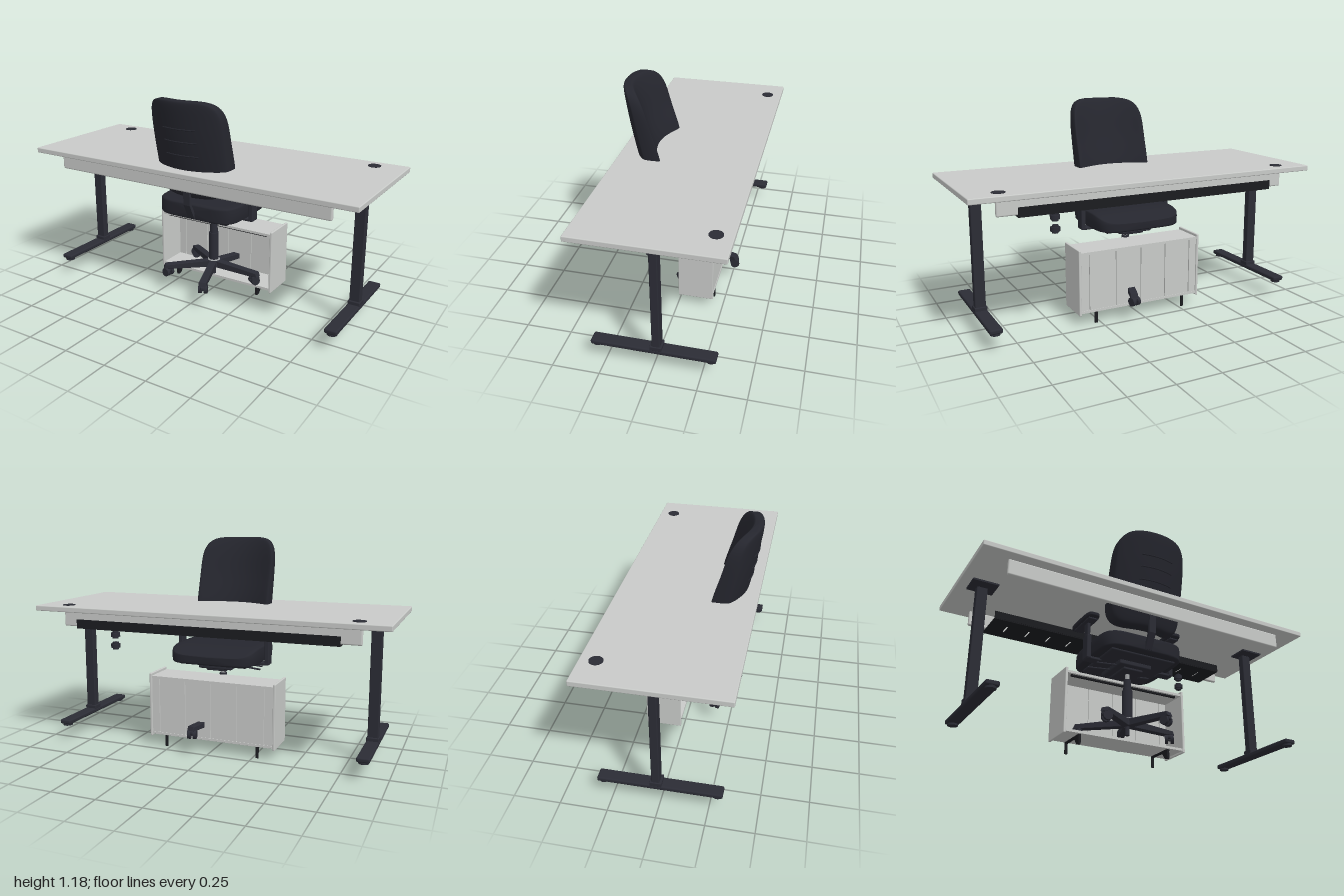
import * as THREE from 'three';
import { RoundedBoxGeometry } from 'three/addons/geometries/RoundedBoxGeometry.js';

function material(name, color, side = THREE.FrontSide) {
  const m = new THREE.MeshStandardMaterial({ color, side });
  m.name = name;
  return m;
}

export function createModel() {
  const model = new THREE.Group();
  model.name = 'deskAndChair';
  const grey = material('lightGreyPanel', 0xc8cac8);
  const metal = material('darkMetal', 0x2b2c35);
  const fabric = material('darkUpholstery', 0x25262e);
  const black = material('blackSteel', 0x1b1c20);
  const steel = material('brightSteel', 0xa2a4a6);

  function group(name, parent = model) {
    const g = new THREE.Group();
    g.name = name;
    parent.add(g);
    return g;
  }
  function add(parent, name, geo, mat, x = 0, y = 0, z = 0) {
    const m = new THREE.Mesh(geo, mat);
    m.name = name;
    m.position.set(x, y, z);
    parent.add(m);
    return m;
  }
  // Box given by its extents on each axis
  function box(parent, name, mat, [x0, x1], [y0, y1], [z0, z1], r = 0) {
    const s = [x1 - x0, y1 - y0, z1 - z0];
    const geo = r ? new RoundedBoxGeometry(...s, 3, r) : new THREE.BoxGeometry(...s);
    return add(parent, name, geo, mat, (x0 + x1) / 2, (y0 + y1) / 2, (z0 + z1) / 2);
  }
  const cyl = (r0, r1, h, n = 24) => new THREE.CylinderGeometry(r0, r1, h, n);

  // Soft slab: t across, s along, n through the thickness, all -1..1, placed by map
  function cushion(q, edge, map) {
    const rows = 32, half = 24, ring = half * 2, pos = [], idx = [];
    const round = (v, p) => Math.pow(Math.max(0, 1 - Math.pow(Math.abs(v), p)), 1 / p);
    for (let i = 0; i <= rows; i++) {
      const s = Math.sin((i / rows - 0.5) * Math.PI), w = round(s, q);
      for (let j = 0; j < ring; j++) {
        const k = j < half ? j : ring - j;
        const t = Math.sin((k / half - 0.5) * Math.PI);
        const n = round(t, edge) * round(s, edge) * (j < half ? 1 : -1);
        pos.push(...map(t * w, s, n));
        if (i < rows) {
          const a = i * ring + j, b = i * ring + (j + 1) % ring;
          idx.push(a, b, b + ring, a, b + ring, a + ring);
        }
      }
    }
    const g = new THREE.BufferGeometry();
    g.setAttribute('position', new THREE.Float32BufferAttribute(pos, 3));
    g.setIndex(idx);
    g.computeVertexNormals();
    return g;
  }

  // ---- Desk ----
  const desk = group('desk');
  box(desk, 'deskTop', grey, [-1, 1], [0.778, 0.808], [-0.385, 0.375], 0.005);
  box(desk, 'frontRail', grey, [-0.85, 0.85], [0.69, 0.778], [0.297, 0.32], 0.008);
  box(desk, 'rearRail', grey, [-0.85, 0.85], [0.69, 0.778], [-0.32, -0.297], 0.008);
  for (const sx of [-1, 1]) {
    const leg = group('deskLeg', desk);
    leg.position.x = sx * 0.875;
    box(leg, 'legPost', metal, [-0.029, 0.029], [0.12, 0.77], [-0.041, 0.001], 0.005);
    box(leg, 'mountingPlate', metal, [-0.07, 0.07], [0.768, 0.778], [-0.06, 0.06]);
    box(leg, 'legCollar', metal, [-0.034, 0.034], [0.12, 0.145], [-0.05, 0.012], 0.004);
    box(leg, 'foot', metal, [-0.035, 0.035], [0.1, 0.126], [-0.325, 0.322], 0.009);
    for (const z of [-0.295, 0.292]) add(leg, 'glide', cyl(0.027, 0.027, 0.012), metal, 0, 0.096, z);
    add(desk, 'cableGrommet', cyl(0.035, 0.035, 0.006, 32), metal, sx * 0.83, 0.808, -0.3);
  }

  // Slotted cable tray under the rear of the desk
  const tray = group('cableTray', desk);
  const base = new THREE.Shape([[-0.75, -0.35], [0.75, -0.35], [0.75, -0.145], [-0.75, -0.145]]
    .map(p => new THREE.Vector2(...p)));
  for (let i = -5; i <= 5; i++) {
    const x = i * 0.13;
    base.holes.push(new THREE.Path([[x - 0.006, -0.29], [x - 0.006, -0.21], [x + 0.006, -0.21], [x + 0.006, -0.29]]
      .map(p => new THREE.Vector2(...p))));
  }
  const trayBase = new THREE.ExtrudeGeometry(base, { depth: 0.006, bevelEnabled: false }).rotateX(Math.PI / 2);
  add(tray, 'trayBase', trayBase, black, 0, 0.691, 0);
  box(tray, 'trayRearWall', black, [-0.75, 0.75], [0.69, 0.736], [-0.351, -0.346]);
  box(tray, 'trayFrontWall', black, [-0.75, 0.75], [0.69, 0.731], [-0.149, -0.143]);

  // Pair of cable spools below the desk
  for (const y of [0.59, 0.653]) {
    add(desk, 'cableSpoolCore', cyl(0.017, 0.017, 0.042), metal, 0.54, y, -0.285);
    add(desk, 'cableSpoolRim', cyl(0.026, 0.026, 0.022), metal, 0.54, y, -0.285);
  }

  // ---- Open cabinet ----
  const cabinet = group('cabinet');
  for (const sx of [-1, 1]) {
    add(cabinet, 'cabinetSide', new RoundedBoxGeometry(0.014, 0.37, 0.197, 2, 0.004), grey, sx * 0.37, 0.24, -0.1);
  }
  box(cabinet, 'cabinetTop', grey, [-0.365, 0.365], [0.396, 0.41], [-0.195, -0.008]);
  box(cabinet, 'cabinetBottom', grey, [-0.365, 0.365], [0.066, 0.08], [-0.195, -0.008]);
  box(cabinet, 'backCore', grey, [-0.365, 0.365], [0.078, 0.398], [-0.184, -0.18]);
  const joints = [-0.365, -0.315, -0.155, 0, 0.155, 0.315, 0.365];
  for (let i = 0; i < 6; i++) {
    box(cabinet, 'backSlat', grey, [joints[i] + 0.003, joints[i + 1] - 0.003], [0.08, 0.396], [-0.192, -0.174]);
  }
  box(cabinet, 'hangingRail', black, [-0.335, 0.335], [0.386, 0.396], [-0.035, -0.022]);
  const gusset = new THREE.ExtrudeGeometry(
    new THREE.Shape([[0.02, 0.066], [0.085, 0.066], [0.045, 0.015], [0.02, 0.012]].map(p => new THREE.Vector2(...p))),
    { depth: 0.014, bevelEnabled: false }).rotateY(Math.PI / 2).translate(-0.007, 0, 0);
  for (const x of [-0.275, 0.275]) {
    add(cabinet, 'frontBracket', gusset, black, x);
    box(cabinet, 'rearSupport', black, [x - 0.008, x + 0.008], [0, 0.066], [-0.192, -0.185]);
    box(cabinet, 'supportStrip', black, [x - 0.008, x + 0.008], [0.058, 0.066], [-0.19, -0.02]);
  }

  // ---- Office chair, facing the desk ----
  const chair = group('officeChair');
  // Backrest: [height, middle z, half thickness]
  const spine = [[0.63, 0.222, 0.04], [0.79, 0.25, 0.055], [0.98, 0.298, 0.047], [1.1, 0.325, 0.04], [1.19, 0.348, 0.032]];
  const curve = new THREE.CatmullRomCurve3(spine.map(([y, z, h]) => new THREE.Vector3(h, y, z)));
  const spinePoints = curve.getPoints(60);
  function spineAt(y) {
    let i = 1;
    while (i < 60 && spinePoints[i].y < y) i++;
    const a = spinePoints[i - 1], b = spinePoints[i];
    return a.clone().lerp(b, THREE.MathUtils.clamp((y - a.y) / (b.y - a.y), 0, 1));
  }
  add(chair, 'backrest', cushion(5, 8, (t, s, n) => {
    const y = 0.912 + 0.273 * s, p = spineAt(y);
    return [0.222 * t, y, p.z - 0.078 * t * t + p.x * n];
  }), fabric);
  // Raised ribs across the rear shell
  for (const [y, w] of [[1.035, 0.1], [0.965, 0.1], [0.89, 0.1]]) {
    const p = spineAt(y), path = [];
    for (let i = -4; i <= 4; i++) {
      const x = w * i / 4;
      path.push(new THREE.Vector3(x, y, p.z + p.x - 0.078 * (x / 0.222) ** 2));
    }
    add(chair, 'backRib', new THREE.TubeGeometry(new THREE.CatmullRomCurve3(path), 16, 0.004, 6), fabric);
  }
  // Bent bar carrying the backrest
  const bar = new THREE.Shape([[0.27, 0.75], [0.288, 0.75], [0.278, 0.6], [0.236, 0.515], [0.1, 0.49], [0.1, 0.505], [0.222, 0.53], [0.262, 0.605]]
    .map(([z, y]) => new THREE.Vector2(-z, y)));
  add(chair, 'backSupportBar', new THREE.ExtrudeGeometry(bar, { depth: 0.04, bevelEnabled: false })
    .rotateY(Math.PI / 2).translate(-0.02, 0, 0), metal);

  // Seat cushion with a falling front edge
  add(chair, 'seat', cushion(5, 9, (t, s, n) => {
    const drop = 0.045 * Math.max(0, (s - 0.3) / 0.7) ** 2;
    return [0.252 * t, 0.55 + 0.05 * n - (n > 0 ? drop * n : 0), -0.235 * s];
  }), fabric);
  box(chair, 'seatPan', metal, [-0.2, 0.2], [0.49, 0.51], [-0.17, 0.19], 0.008);
  box(chair, 'tiltMechanism', metal, [-0.1, 0.1], [0.465, 0.495], [-0.13, 0.1], 0.008);
  box(chair, 'mechanismCover', metal, [-0.06, 0.06], [0.452, 0.47], [-0.11, 0.07], 0.006);
  for (const [x, z] of [[-0.165, -0.03], [-0.15, 0.05], [0.12, -0.03]]) {
    const lever = add(chair, 'adjustLever', cyl(0.005, 0.005, x < 0 ? 0.14 : 0.07, 10), metal, x, 0.469, z);
    lever.rotation.z = Math.PI / 2 + 0.1;
  }

  // Armrests
  for (const sx of [-1, 1]) {
    const arm = group('armrest', chair);
    arm.position.x = sx * 0.265;
    add(arm, 'armBracket', new RoundedBoxGeometry(0.09, 0.016, 0.055, 2, 0.005), metal, -sx * 0.035, 0.49, 0.015);
    box(arm, 'armSleeve', metal, [-0.013, 0.013], [0.485, 0.625], [-0.012, 0.046], 0.005);
    box(arm, 'armPost', metal, [-0.009, 0.009], [0.6, 0.7], [-0.006, 0.038], 0.004);
    box(arm, 'armPadBase', metal, [-0.028, 0.028], [0.698, 0.709], [-0.1, 0.09], 0.004);
    add(arm, 'armPad', cushion(4, 6, (t, s, n) => [0.04 * t, 0.722 + 0.013 * n, -0.008 - 0.122 * s]), fabric);
  }

  // Gas lift
  add(chair, 'liftOuter', cyl(0.028, 0.028, 0.175), metal, 0, 0.268, 0);
  add(chair, 'liftSleeve', cyl(0.021, 0.023, 0.07), metal, 0, 0.385, 0);
  add(chair, 'liftRod', cyl(0.013, 0.013, 0.05), steel, 0, 0.44, 0);
  add(chair, 'hub', cyl(0.037, 0.042, 0.04), metal, 0, 0.165, 0);
  add(chair, 'hubRing', cyl(0.033, 0.037, 0.005), steel, 0, 0.187, 0);
  add(chair, 'liftTail', cyl(0.013, 0.013, 0.06), metal, 0, 0.125, 0);

  // Five tapered arms with twin-wheel castors
  const armShape = new THREE.Shape([[0.02, 0.145], [0.02, 0.18], [0.12, 0.173], [0.285, 0.16], [0.293, 0.142], [0.25, 0.14]]
    .map(p => new THREE.Vector2(...p)));
  const armGeo = new THREE.ExtrudeGeometry(armShape, { depth: 0.036, bevelEnabled: true, bevelSize: 0.003, bevelThickness: 0.003, bevelSegments: 2 })
    .translate(0, 0, -0.018);
  for (let i = 0; i < 5; i++) {
    const spoke = group('baseArm', chair);
    spoke.rotation.y = THREE.MathUtils.degToRad(73 + 72 * i);
    add(spoke, 'spoke', armGeo, metal);
    const castor = group('castor', spoke);
    castor.position.set(0.275, 0, 0);
    castor.rotation.y = 0.5 + i * 0.9;
    add(castor, 'castorStem', cyl(0.009, 0.009, 0.05, 12), metal, 0, 0.135, 0);
    box(castor, 'castorHood', metal, [-0.024, 0.024], [0.118, 0.138], [-0.012, 0.012], 0.006);
    for (const z of [-0.016, 0.016]) {
      add(castor, 'castorWheel', cyl(0.025, 0.025, 0.018).rotateX(Math.PI / 2), metal, 0.006, 0.117, z);
    }
  }
  return model;
}
